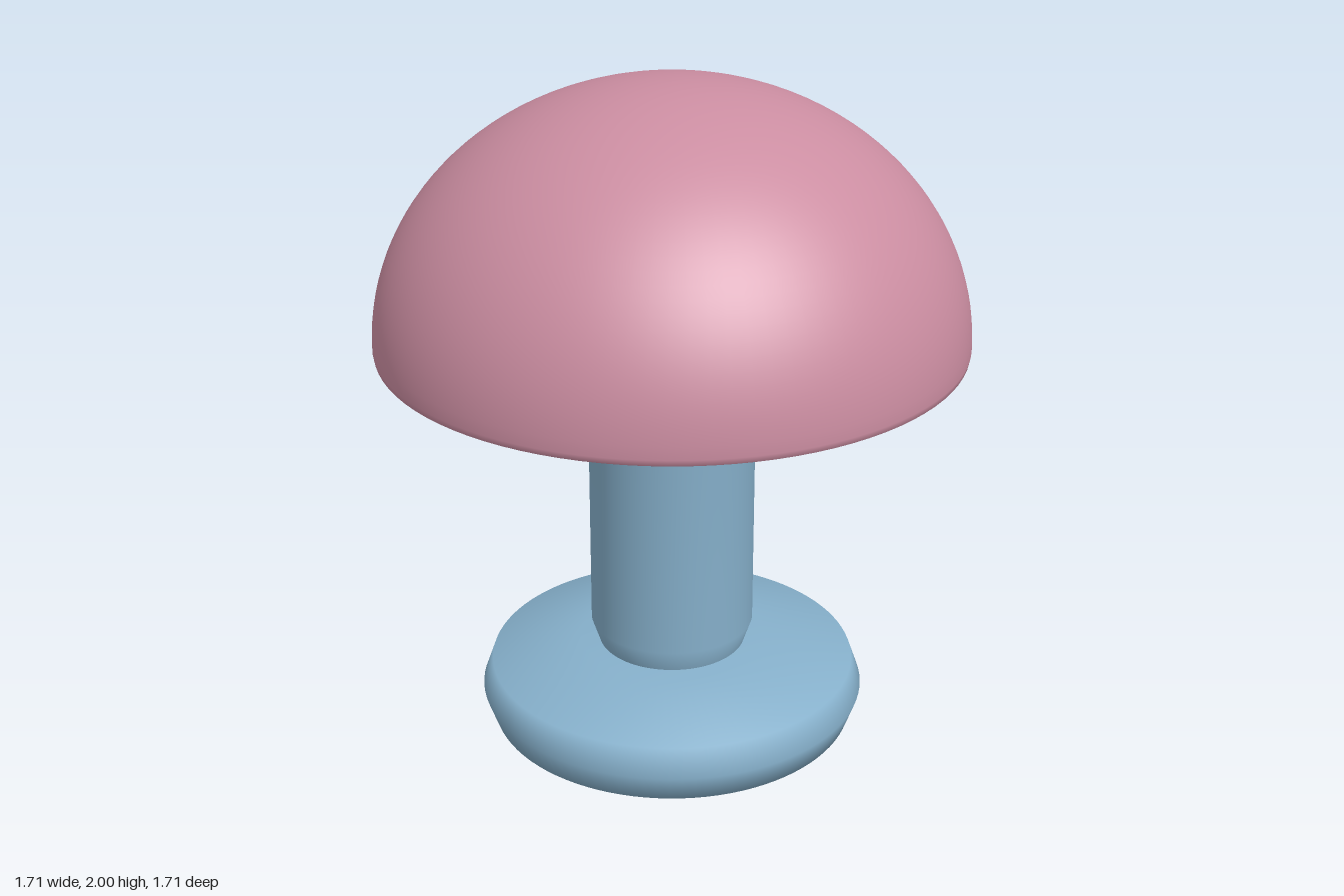
import * as THREE from 'three';

const SEGMENTS = 96;

export function createModel() {
  const model = new THREE.Group();
  const material = (name, color) => {
    const m = new THREE.MeshStandardMaterial({ color });
    m.name = name;
    return m;
  };
  const pink = material('dusty pink', 0xcb8da1);
  const blue = material('soft blue', 0x86b0cb);
  const cream = material('pale cream', 0xcfcfa6);

  // Revolves a profile; points run upward on outer faces
  const turn = (name, points, mat, parent = model) => {
    const profile = points.map(([r, y]) => new THREE.Vector2(r, y));
    const mesh = new THREE.Mesh(new THREE.LatheGeometry(profile, SEGMENTS), mat);
    mesh.name = name;
    parent.add(mesh);
    return mesh;
  };
  const part = (name) => {
    const group = new THREE.Group();
    group.name = name;
    model.add(group);
    return group;
  };
  // Quarter ellipse from the rim up to the crown
  const quarter = (radius, bottom, height, steps = 32) =>
    Array.from({ length: steps + 1 }, (_, i) => {
      const a = (i / steps) * Math.PI / 2;
      return [i === steps ? 0 : radius * Math.cos(a), bottom + height * Math.sin(a)];
    });

  // Pebble-shaped foot
  const base = part('base');
  turn('baseUnderside', [[0, 0.005], [0.39, 0.005]], blue, base);
  turn('baseBody', [
    [0.39, 0.005], [0.55, 0.04], [0.58, 0.125], [0.55, 0.21], [0.28, 0.27], [0, 0.27],
  ], blue, base);

  // Column, narrowed at the foot and flared under the shade
  turn('stem', [
    [0.22, 0.265], [0.245, 0.34], [0.245, 1.07], [0.295, 1.19],
  ], blue);

  // Diffuser disc with softened edges
  const diffuser = part('diffuser');
  turn('diffuserUnderside', [[0, 1.19], [0.73, 1.19]], cream, diffuser);
  turn('diffuserEdge', [
    [0.73, 1.19], [0.737, 1.193], [0.74, 1.2], [0.74, 1.23], [0.737, 1.237], [0.73, 1.24],
  ], cream, diffuser);
  turn('diffuserTop', [[0.73, 1.24], [0, 1.24]], cream, diffuser);

  // Hollow domed shade: outer skin, rim and inner skin
  const shade = part('shade');
  turn('shadeOuter', [[0.842, 1.238], [0.852, 1.243], ...quarter(0.855, 1.26, 0.74)], pink, shade);
  turn('shadeRim', [[0.81, 1.238], [0.842, 1.238]], pink, shade);
  turn('shadeInner', [...quarter(0.81, 1.26, 0.695).reverse(), [0.81, 1.238]], pink, shade);

  return model;
}
